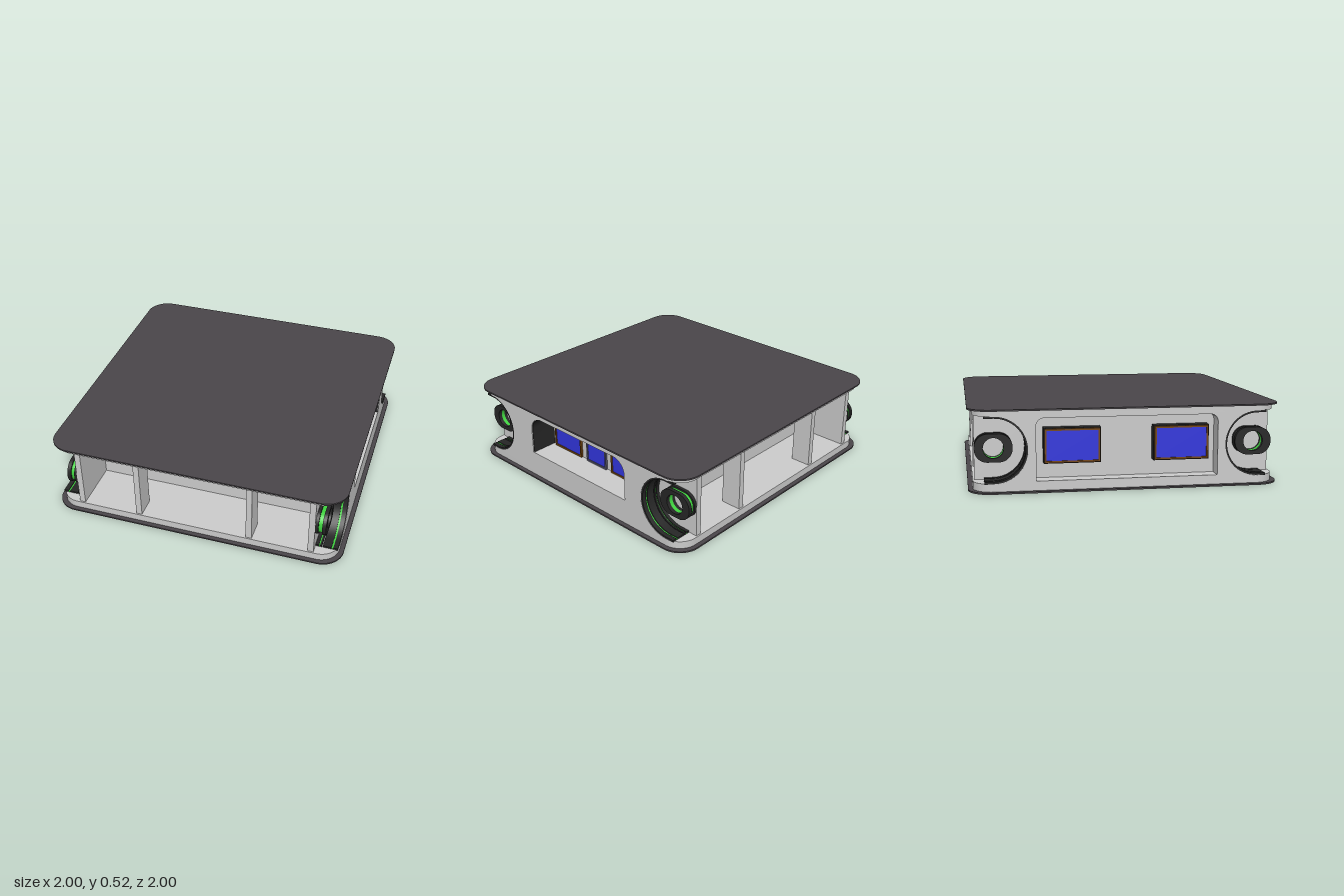
import * as THREE from 'three';
import { toCreasedNormals } from 'three/addons/utils/BufferGeometryUtils.js';

const mat = (color) => new THREE.MeshStandardMaterial({ color });
const GREY = mat(0xcccccc), PLATE = mat(0x4a464a), DARK = mat(0x262626);
const GREEN = mat(0x3fd23f), BLUE = mat(0x3236dd), BROWN = mat(0x744510), SLATE = mat(0x55556a);

function add(parent, name, geometry, material) {
  const mesh = new THREE.Mesh(geometry, material);
  mesh.name = name;
  parent.add(mesh);
  return mesh;
}

// Box given by its extents
function block(parent, name, material, x0, x1, y0, y1, z0, z1) {
  const mesh = add(parent, name, new THREE.BoxGeometry(x1 - x0, y1 - y0, z1 - z0), material);
  mesh.position.set((x0 + x1) / 2, (y0 + y1) / 2, (z0 + z1) / 2);
  return mesh;
}

// Rounded rectangle with separate top and bottom corner radii
function roundRect(a0, a1, b0, b1, rTop, rBottom = rTop, Type = THREE.Shape) {
  const s = new Type();
  s.moveTo(a0 + rBottom, b0);
  s.lineTo(a1 - rBottom, b0);
  if (rBottom) s.absarc(a1 - rBottom, b0 + rBottom, rBottom, -Math.PI / 2, 0);
  s.lineTo(a1, b1 - rTop);
  s.absarc(a1 - rTop, b1 - rTop, rTop, 0, Math.PI / 2);
  s.lineTo(a0 + rTop, b1);
  s.absarc(a0 + rTop, b1 - rTop, rTop, Math.PI / 2, Math.PI);
  s.lineTo(a0, b0 + rBottom);
  if (rBottom) s.absarc(a0 + rBottom, b0 + rBottom, rBottom, Math.PI, Math.PI * 1.5);
  return s;
}

function extrude(shape, depth) {
  const g = new THREE.ExtrudeGeometry(shape, { depth, bevelEnabled: false, curveSegments: 16 });
  return toCreasedNormals(g, 0.5);
}

// Extrude a (z, y) profile between two x positions
function alongX(parent, name, material, shape, x0, x1) {
  const g = extrude(shape, x1 - x0).rotateY(-Math.PI / 2).translate(x1, 0, 0);
  return add(parent, name, g, material);
}

// Extrude a plan outline between two heights
function slab(parent, name, material, half, radius, y0, y1) {
  const g = extrude(roundRect(-half, half, -half, half, radius), y1 - y0);
  return add(parent, name, g.rotateX(-Math.PI / 2).translate(0, y0, 0), material);
}

// Framed window facing +z, centred on its own origin
function makeWindow(width, height, depth, frameMaterial, name = 'window') {
  const g = new THREE.Group();
  g.name = name;
  const w = width / 2, h = height / 2, t = 0.012;
  const frame = roundRect(-w, w, -h, h, 0.001);
  frame.holes.push(roundRect(-w + t, w - t, -h + t, h - t, 0.001, 0.001, THREE.Path));
  add(g, 'windowFrame', extrude(frame, depth), frameMaterial);
  block(g, 'windowPane', BLUE, -w + t, w - t, -h + t, h - t, 0, depth - 0.006);
  return g;
}

// Deep bay with vaulted ceiling, two dividers and a row of windows
function makeBay(windows) {
  const bay = new THREE.Group();
  const vault = new THREE.Shape();
  vault.moveTo(0.96, 0.485);
  vault.lineTo(0.6, 0.485);
  vault.lineTo(0.6, 0.38);
  vault.quadraticCurveTo(0.72, 0.475, 0.96, 0.48);
  alongX(bay, 'vaultedCeiling', GREY, vault, -0.78, 0.78);
  const rib = new THREE.Shape();
  rib.moveTo(0.96, 0.06);
  rib.lineTo(0.96, 0.485);
  rib.lineTo(0.93, 0.485);
  rib.quadraticCurveTo(0.82, 0.45, 0.82, 0.34);
  rib.lineTo(0.82, 0.06);
  for (const s of [-1, 1]) {
    alongX(bay, 'divider', GREY, rib, s * 0.385 - 0.02, s * 0.385 + 0.02);
    block(bay, 'bayEndWall', GREY, s * 0.8 - 0.02, s * 0.8 + 0.02, 0.06, 0.485, 0.6, 0.96);
  }
  for (const [x0, x1] of windows) {
    const w = makeWindow(x1 - x0, 0.165, 0.02, BROWN);
    w.position.set((x0 + x1) / 2, 0.283, 0.61);
    bay.add(w);
  }
  return bay;
}

// Side wall whose ends are scooped out for the corner nozzles
function sideProfile() {
  const s = new THREE.Shape();
  s.moveTo(-0.84, 0.06);
  s.lineTo(0.84, 0.06);
  s.absarc(0.84, 0.27, 0.21, Math.PI * 1.5, Math.PI / 2, true);
  s.lineTo(-0.84, 0.48);
  s.absarc(-0.84, 0.27, 0.21, Math.PI / 2, -Math.PI / 2, true);
  return s;
}

// U-shaped liner strip opening away from the centre
function linerProfile(sz, thickness) {
  const r = 0.212, q = r - thickness, y = 0.27, c = 0.84, end = 0.9, s = new THREE.Shape();
  const a = sz > 0 ? Math.PI / 2 : Math.PI / 2, cw = sz < 0;
  s.moveTo(sz * end, y + r);
  s.lineTo(sz * c, y + r);
  s.absarc(sz * c, y, r, a, -a, cw);
  s.lineTo(sz * end, y - r);
  s.lineTo(sz * end, y - q);
  s.lineTo(sz * c, y - q);
  s.absarc(sz * c, y, q, -a, a, !cw);
  s.lineTo(sz * end, y + q);
  return s;
}

function makeCornerNozzle(sx, sz) {
  const g = new THREE.Group();
  g.name = 'cornerNozzle';
  const layer = (name, material, shape, a, b) =>
    alongX(g, name, material, shape, Math.min(sx * a, sx * b), Math.max(sx * a, sx * b));
  // Liner bands
  for (const [a, b, t, m] of [[0.82, 0.842, 0.014, DARK], [0.842, 0.85, 0.008, GREEN], [0.85, 0.862, 0.014, DARK],
    [0.868, 0.925, 0.014, DARK], [0.925, 0.937, 0.008, GREEN], [0.937, 0.968, 0.014, DARK]])
    layer('linerBand', m, linerProfile(sz, t), a, b);
  // Hollow nozzle ring
  for (const [a, b, inset, m] of [[0.82, 0.84, 0, DARK], [0.84, 0.865, 0.012, GREEN], [0.865, 0.89, 0, DARK]]) {
    const c = sz * 0.84;
    const ring = roundRect(c - 0.12 + inset, c + 0.12 - inset, 0.18 + inset, 0.36 - inset, 0.085 - inset);
    ring.holes.push(new THREE.Path().absarc(c, 0.27, 0.065, 0, Math.PI * 2));
    layer('nozzleRing', m, ring, a, b);
  }
  return g;
}

export function createModel() {
  const model = new THREE.Group();
  model.name = 'module';

  // Cover plates and structural slabs
  slab(model, 'bottomPlate', PLATE, 1, 0.15, 0, 0.01);
  slab(model, 'floorSlab', GREY, 0.97, 0.13, 0.01, 0.06);
  slab(model, 'roofSlab', GREY, 0.97, 0.13, 0.48, 0.515);
  slab(model, 'topPlate', PLATE, 1, 0.15, 0.515, 0.525);
  block(model, 'core', GREY, -0.8, 0.78, 0.06, 0.48, -0.61, 0.61);

  // Front and back bays
  const front = makeBay([[-0.75, -0.44], [-0.34, 0.34], [0.44, 0.75]]);
  front.name = 'frontBay';
  const back = makeBay([[-0.75, -0.44], [-0.34, -0.04], [0.04, 0.34], [0.44, 0.75]]);
  back.name = 'backBay';
  back.rotation.y = Math.PI;
  model.add(front, back);

  // Left side: arched recess with dark lining and three windows
  const left = sideProfile();
  left.holes.push(roundRect(-0.485, 0.42, 0.185, 0.465, 0.1, 0, THREE.Path));
  alongX(model, 'leftSideWall', GREY, left, 0.78, 0.97);
  const lining = new THREE.Shape();
  lining.moveTo(0.42, 0.185);
  lining.lineTo(0.42, 0.365);
  lining.absarc(0.32, 0.365, 0.1, 0, Math.PI / 2);
  lining.absarc(-0.385, 0.365, 0.1, Math.PI / 2, Math.PI);
  lining.lineTo(-0.485, 0.185);
  lining.lineTo(-0.481, 0.185);
  lining.absarc(-0.385, 0.365, 0.096, Math.PI, Math.PI / 2, true);
  lining.absarc(0.32, 0.365, 0.096, Math.PI / 2, 0, true);
  lining.lineTo(0.416, 0.185);
  alongX(model, 'recessLining', DARK, lining, 0.78, 0.965);
  for (const [z0, z1, m] of [[0.12, 0.39, BROWN], [-0.125, 0.065, SLATE], [-0.445, -0.175, BROWN]]) {
    const w = makeWindow(z1 - z0, 0.19, 0.015, m);
    w.position.set(0.78, 0.28, (z0 + z1) / 2);
    w.rotation.y = Math.PI / 2;
    model.add(w);
  }

  // Right side: wide shallow recess with two projecting window boxes
  const right = sideProfile();
  right.holes.push(roundRect(-0.58, 0.58, 0.07, 0.465, 0.05, 0, THREE.Path));
  alongX(model, 'rightSideWall', GREY, right, -0.97, -0.82);
  block(model, 'rightRecessBack', GREY, -0.87, -0.8, 0.06, 0.48, -0.6, 0.6);
  for (const z of [-0.35, 0.35]) {
    block(model, 'windowBox', DARK, -0.932, -0.86, 0.17, 0.395, z - 0.18, z + 0.18);
    const w = makeWindow(0.35, 0.215, 0.012, BROWN);
    w.position.set(-0.932, 0.283, z);
    w.rotation.y = -Math.PI / 2;
    model.add(w);
  }

  // Corner nozzles
  for (const sx of [-1, 1]) for (const sz of [-1, 1]) model.add(makeCornerNozzle(sx, sz));

  return model;
}
